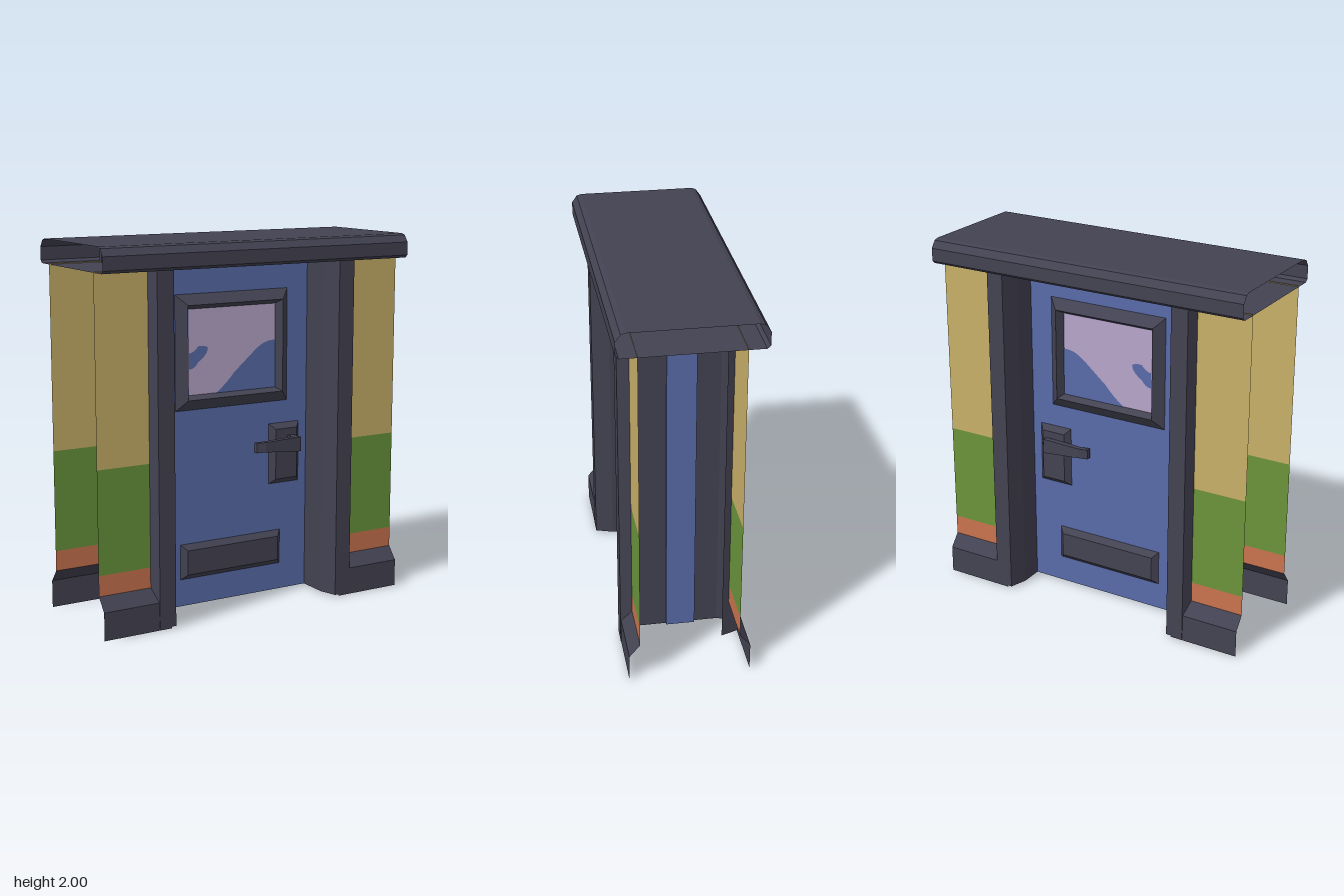
import * as THREE from 'three';

const flat = (name, color) =>
  new THREE.MeshStandardMaterial({ name, color, side: THREE.DoubleSide });

const V = (x, y, z) => new THREE.Vector3(x, y, z);

// Flat-shaded skin through matching loops of points
function skin(loops, closed = false, capStart = false, capEnd = false) {
  const pts = [];
  const n = loops[0].length;
  for (let k = 0; k + 1 < loops.length; k++) {
    for (let i = 0; i < (closed ? n : n - 1); i++) {
      const j = (i + 1) % n;
      const [a, b, c, d] = [loops[k][i], loops[k][j], loops[k + 1][j], loops[k + 1][i]];
      pts.push(a, b, c, a, c, d);
    }
  }
  const first = loops[0], last = loops[loops.length - 1];
  for (let i = 1; i + 1 < n; i++) {
    if (capStart) pts.push(first[0], first[i + 1], first[i]);
    if (capEnd) pts.push(last[0], last[i], last[i + 1]);
  }
  const g = new THREE.BufferGeometry().setFromPoints(pts);
  g.computeVertexNormals();
  return g;
}

// Rectangle facing +z
const rect = (x0, x1, y0, y1, z) => [V(x0, y0, z), V(x1, y0, z), V(x1, y1, z), V(x0, y1, z)];
// Rectangular section facing along x
const section = (x, y0, y1, z0, z1) => [V(x, y0, z0), V(x, y0, z1), V(x, y1, z1), V(x, y1, z0)];

export function createModel() {
  const dark = flat('slate trim', 0x434252);
  const blue = flat('blue paint', 0x596ca9);
  const yellow = flat('yellow wall', 0xc9b068);
  const green = flat('green wall', 0x6a943b);
  const orange = flat('orange wall', 0xc9744f);
  const pink = flat('lilac glass', 0xb9a6ca);

  const model = new THREE.Group();
  const add = (parent, name, geometry, material) => {
    const m = new THREE.Mesh(geometry, material);
    m.name = name;
    parent.add(m);
    return m;
  };

  // Roof slab: bevelled tube, open at both ends
  const half = [[0.34, 1.992], [0.367, 1.955], [0.367, 1.885], [0.35, 1.87]];
  const roof = [[0.315, 2], ...half,
    ...half.map(([z, y]) => [-z, y]).reverse(), [-0.315, 2]];
  add(model, 'roof', skin([-0.92, 0.92].map(x => roof.map(([z, y]) => V(x, y, z))), true), dark);

  // Door slab
  const doorZ = -0.022, face = 0.0775;
  const door = add(model, 'door', new THREE.BoxGeometry(0.98, 1.86, face * 2), blue);
  door.position.set(0, 0.94, doorZ);

  // Post, plinth and wall bands, repeated in the four corners
  const post = [[0.475, 0.05], [0.475, 0.225], [0.505, 0.322], [0.6, 0.322], [0.635, 0.225]];
  const plinth = [[0, 0.319], [0.15, 0.319], [0.22, 0.262]];
  const bands = [['orange', 0.22, 0.33, orange], ['green', 0.33, 0.88, green],
    ['yellow', 0.88, 1.875, yellow]];
  for (const sx of [1, -1]) {
    for (const sz of [1, -1]) {
      const corner = new THREE.Group();
      corner.name = (sz > 0 ? 'front' : 'back') + (sx > 0 ? 'Left' : 'Right') + 'Wall';
      corner.scale.set(sx, 1, sz);
      add(corner, 'doorPost', skin([0.01, 1.93].map(y => post.map(([x, z]) => V(x, y, z)))), dark);
      add(corner, 'plinth', skin(plinth.map(([y, z]) => [V(0.53, y, z), V(0.92, y, z)])), dark);
      for (const [name, y0, y1, mat] of bands) {
        add(corner, name + 'Band', skin([[V(0.57, y0, 0.262), V(0.92, y0, 0.262)],
          [V(0.57, y1, 0.262), V(0.92, y1, 0.262)]]), mat);
      }
      model.add(corner);
    }
  }

  // Painted reflections on the glass
  const sweep = new THREE.Shape();
  sweep.moveTo(-0.11, 1.17);
  sweep.lineTo(0.265, 1.17);
  sweep.lineTo(0.265, 1.43);
  sweep.quadraticCurveTo(0.2, 1.44, 0.13, 1.38);
  sweep.lineTo(0, 1.27);
  sweep.quadraticCurveTo(-0.04, 1.22, -0.11, 1.17);
  const blob = new THREE.Shape();
  blob.moveTo(-0.275, 1.31);
  blob.quadraticCurveTo(-0.24, 1.31, -0.22, 1.345);
  blob.quadraticCurveTo(-0.16, 1.38, -0.16, 1.42);
  blob.quadraticCurveTo(-0.18, 1.435, -0.22, 1.43);
  blob.quadraticCurveTo(-0.24, 1.4, -0.275, 1.395);

  // Raised plate with sloping sides
  const plate = (x0, x1, y0, y1, b, h) => skin([
    rect(x0, x1, y0, y1, face), rect(x0 + b, x1 - b, y0 + b, y1 - b, face + h),
  ], true, false, true);

  // Fittings on both faces of the door
  for (const sz of [1, -1]) {
    const side = new THREE.Group();
    side.name = sz > 0 ? 'frontFittings' : 'backFittings';
    side.position.z = doorZ;
    side.scale.z = sz;

    add(side, 'windowFrame', skin([
      rect(-0.355, 0.345, 1.09, 1.71, face),
      rect(-0.3, 0.29, 1.15, 1.655, face + 0.045),
      rect(-0.275, 0.265, 1.17, 1.63, face),
    ], true), dark);
    add(side, 'glass', skin([[V(-0.275, 1.17, face + 0.003), V(0.265, 1.17, face + 0.003)],
      [V(-0.275, 1.63, face + 0.003), V(0.265, 1.63, face + 0.003)]]), pink);
    add(side, 'glassReflection', new THREE.ShapeGeometry([sweep, blob]), blue)
      .position.z = face + 0.007;
    add(side, 'letterPlate', plate(-0.33, 0.305, 0.16, 0.355, 0.03, 0.03), dark);
    add(side, 'handlePlate', plate(0.23, 0.425, 0.625, 0.965, 0.029, 0.03), dark);
    model.add(side);

    // Lever handle
    const handle = new THREE.Group();
    handle.name = sz > 0 ? 'frontHandle' : 'backHandle';
    handle.scale.z = sz;
    add(handle, 'handleStem', new THREE.BoxGeometry(0.04, 0.08, 0.11), dark)
      .position.set(0.355, 0.855, 0.105);
    add(handle, 'handleLever', skin([
      section(0.1, 0.83, 0.885, 0.115, 0.142),
      section(0.15, 0.832, 0.887, 0.128, 0.157),
      section(0.345, 0.816, 0.895, 0.125, 0.16),
    ], true, true, true), dark);
    model.add(handle);
  }

  return model;
}
